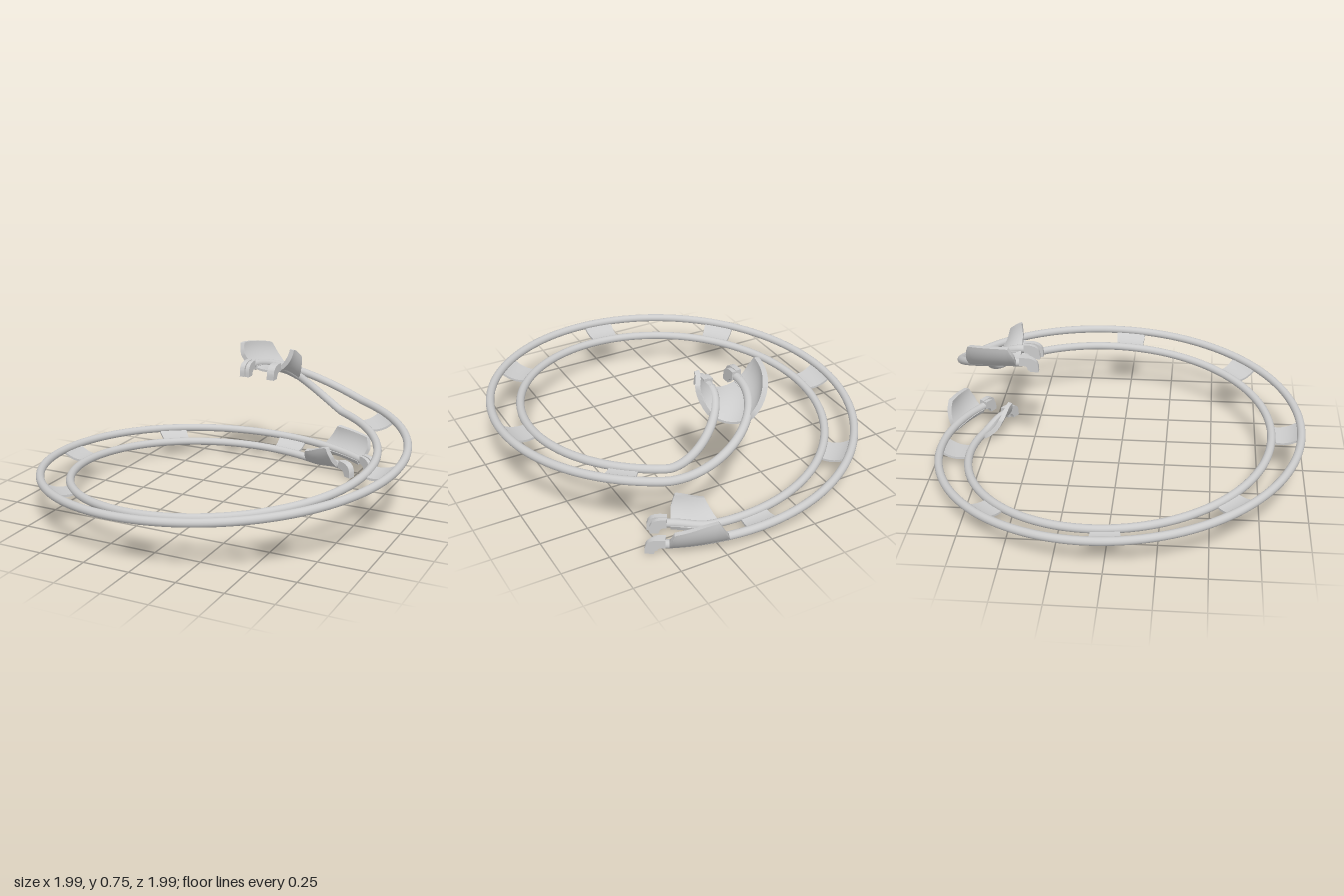
import * as THREE from 'three';
import { toCreasedNormals } from 'three/addons/utils/BufferGeometryUtils.js';

const R = 0.895, CURL = 0.295, HALF = 0.08, TUBE = 0.022;
const LOOP = 360, END = 480; // track length in degrees: one big turn, then a tight curl
const UP = new THREE.Vector3(0, 1, 0);
const rad = THREE.MathUtils.degToRad;
const mat = new THREE.MeshStandardMaterial({ color: 0xcccccc });

// Centre, outward side, banked up and travel direction of the track at s degrees
function frame(s) {
  const a = rad(30 - s);
  const out = new THREE.Vector3(Math.sin(a), 0, -Math.cos(a));
  const travel = new THREE.Vector3(-Math.cos(a), 0, -Math.sin(a));
  const centre = new THREE.Vector3();
  const ramp = THREE.MathUtils.smoothstep(s, 0, 15);
  let bank = 0.04 * ramp;
  let y = 0.027 + 0.001 * s + 0.018 * (1 - ramp);
  if (s <= LOOP) {
    centre.copy(out).multiplyScalar(R);
  } else {
    const u = (s - LOOP) / (END - LOOP);
    const k = u * u * (3 - 2 * u);
    centre.set((R - CURL) * 0.5, 0, -(R - CURL) * Math.cos(rad(30))).addScaledVector(out, CURL);
    y = 0.387 * (1 - k) + 0.632 * k + 0.12 * u * (1 - u) * (1 - u);
    bank *= 1 - k;
  }
  centre.y = y;
  const b = Math.atan(bank / (2 * HALF));
  const side = out.clone().multiplyScalar(Math.cos(b)).addScaledVector(UP, Math.sin(b));
  const up = UP.clone().multiplyScalar(Math.cos(b)).addScaledVector(out, -Math.sin(b));
  return { centre, out, travel, side, up };
}

const railPoint = (s, d) => {
  const f = frame(s);
  return f.centre.addScaledVector(f.side, d);
};

class RailCurve extends THREE.Curve {
  constructor(d) {
    super();
    this.d = d;
  }
  getPoint(t, target = new THREE.Vector3()) {
    return target.copy(railPoint(t * END, this.d));
  }
}

// Curved slab following the track: range(u) gives the start and end angle of its arc section
function troughSlab(s0, s1, range, rIn, rOut, rows = 12, cols = 10) {
  const pos = [], idx = [], n = 2 * (cols + 1);
  for (let i = 0; i <= rows; i++) {
    const u = i / rows, f = frame(s0 + (s1 - s0) * u);
    const [p0, p1] = range(u);
    for (let j = 0; j < n; j++) {
      const outer = j <= cols;
      const k = outer ? j : n - 1 - j;
      const p = rad(p0 + (p1 - p0) * k / cols), r = outer ? rOut : rIn;
      const v = f.centre.clone()
        .addScaledVector(f.side, r * Math.sin(p))
        .addScaledVector(f.up, 0.13 - r * Math.cos(p));
      pos.push(v.x, v.y, v.z);
    }
  }
  const quad = (a, b, c, d) => idx.push(a, b, c, a, c, d);
  for (let i = 0; i < rows; i++) {
    for (let j = 0; j < n; j++) {
      const a = i * n + j, b = i * n + (j + 1) % n;
      quad(a, a + n, b + n, b);
    }
  }
  const e = rows * n;
  for (let k = 0; k < cols; k++) {
    quad(k, k + 1, n - 2 - k, n - 1 - k);
    quad(e + k, e + n - 1 - k, e + n - 2 - k, e + k + 1);
  }
  const g = new THREE.BufferGeometry();
  g.setAttribute('position', new THREE.Float32BufferAttribute(pos, 3));
  g.setIndex(idx);
  return toCreasedNormals(g, rad(35));
}

// Quarter-arch hook, x forward and y up from the rail end
function hookGeometry(reach, width) {
  const top = 0.036, low = -0.043, cx = reach - 0.065;
  const s = new THREE.Shape();
  s.moveTo(-0.01, top);
  s.lineTo(cx, top);
  s.quadraticCurveTo(reach, top, reach, low + 0.02);
  s.lineTo(reach, low);
  s.lineTo(reach - 0.045, low);
  s.quadraticCurveTo(reach - 0.05, -0.01, cx - 0.015, -0.01);
  s.lineTo(-0.01, -0.01);
  const g = new THREE.ExtrudeGeometry(s, { depth: width, bevelEnabled: false, curveSegments: 10 });
  g.translate(0, 0, -width / 2);
  return toCreasedNormals(g, rad(35));
}

export function createModel() {
  const model = new THREE.Group();
  const add = (parent, geo, name) => {
    const m = new THREE.Mesh(geo, mat);
    m.name = name;
    parent.add(m);
    return m;
  };

  // Two parallel rails
  for (const [d, name] of [[HALF, 'outerRail'], [-HALF, 'innerRail']]) {
    add(model, new THREE.TubeGeometry(new RailCurve(d), 240, TUBE, 14, false), name);
  }

  // Sagging ties every 45 degrees, and the plate under the upper end
  for (let s = 30; s < LOOP; s += 45) {
    add(model, troughSlab(s - 5, s + 5, () => [-31, 31], 0.15, 0.162), 'tie');
  }
  add(model, troughSlab(END - 45, END - 1, () => [-31, 31], 0.15, 0.162), 'endPlate');

  // Flared guard walls with chamfered corners at both ends
  const flare = (u) => 22 + 63 * Math.min(1, 0.65 + u * 4, 0.3 + (1 - u) * 3.5);
  const guards = [[0.5, 17, (u) => flare(u), 'lower'], [END - 43, END - 1, (u) => flare(1 - u), 'upper']];
  for (const [s0, s1, h, name] of guards) {
    add(model, troughSlab(s0, s1, (u) => [22, h(u)], 0.147, 0.172, 24), name + 'OuterGuard');
    add(model, troughSlab(s0, s1, (u) => [-h(u), -22], 0.147, 0.172, 24), name + 'InnerGuard');
  }

  // Hooked connectors at the four rail ends
  for (const [s, dir] of [[0, -1], [END, 1]]) {
    const f = frame(s);
    const forward = f.travel.clone().multiplyScalar(dir);
    const across = forward.clone().cross(UP);
    for (const d of [HALF, -HALF]) {
      const hook = new THREE.Group();
      hook.name = 'connector';
      hook.position.copy(railPoint(s, d));
      hook.quaternion.setFromRotationMatrix(new THREE.Matrix4().makeBasis(forward, UP, across));
      const inward = -Math.sign(d) * Math.sign(across.dot(f.out));
      add(hook, new THREE.CylinderGeometry(TUBE, TUBE, 0.05, 14).rotateZ(Math.PI / 2), 'collar');
      const main = add(hook, hookGeometry(0.09, 0.028), 'hook');
      main.position.set(0.02, 0, -inward * 0.01);
      const tab = add(hook, hookGeometry(0.075, 0.022), 'hookTab');
      tab.position.set(0.02, -0.004, inward * 0.014);
      model.add(hook);
    }
  }
  return model;
}
